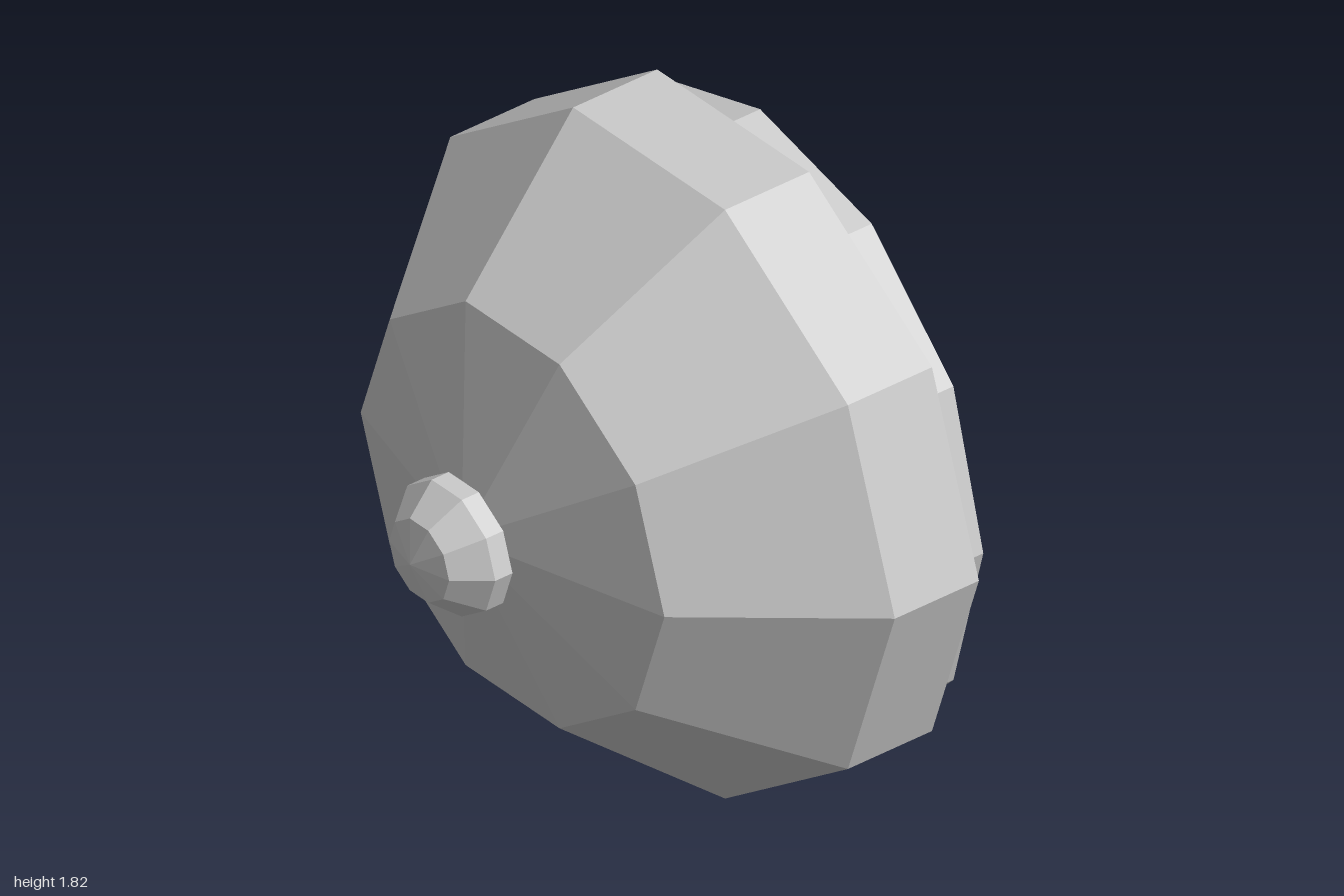
import * as THREE from 'three';

const CENTRE_Y = 0.91;
const SQUASH = 0.957; // the ten-sided parts are slightly lower than wide

// Faceted solid turned about the z axis; profile is [radius, z] from back to front.
function turned(name, profile, sides, x, yScale) {
  const points = profile.map(([r, z]) => new THREE.Vector2(r, z));
  const geometry = new THREE.LatheGeometry(points, sides, Math.PI / 2);
  geometry.rotateX(Math.PI / 2);
  geometry.scale(1, yScale, 1);
  const material = new THREE.MeshStandardMaterial({ color: 0xcccccc, flatShading: true });
  const mesh = new THREE.Mesh(geometry, material);
  mesh.name = name;
  mesh.position.set(x, CENTRE_Y, 0);
  return mesh;
}

export function createModel() {
  const model = new THREE.Group();
  model.name = 'facetedKnob';

  // Rim, sloped shoulder and shallow pointed face
  model.add(turned('body',
    [[0, -0.5], [1, -0.5], [1, -0.22], [0.618, 0.235], [0, 0.405]], 10, 0, SQUASH));

  // Twelve-sided plate behind the rim
  model.add(turned('backPlate',
    [[0, -0.59], [0.908, -0.59], [0.908, -0.5], [0, -0.5]], 12, 0, 1));

  // Small button in front of the point, slightly off centre
  model.add(turned('frontButton',
    [[0, 0.408], [0.198, 0.408], [0.198, 0.465], [0.122, 0.557], [0, 0.588]], 10, 0.013, SQUASH));

  return model;
}
